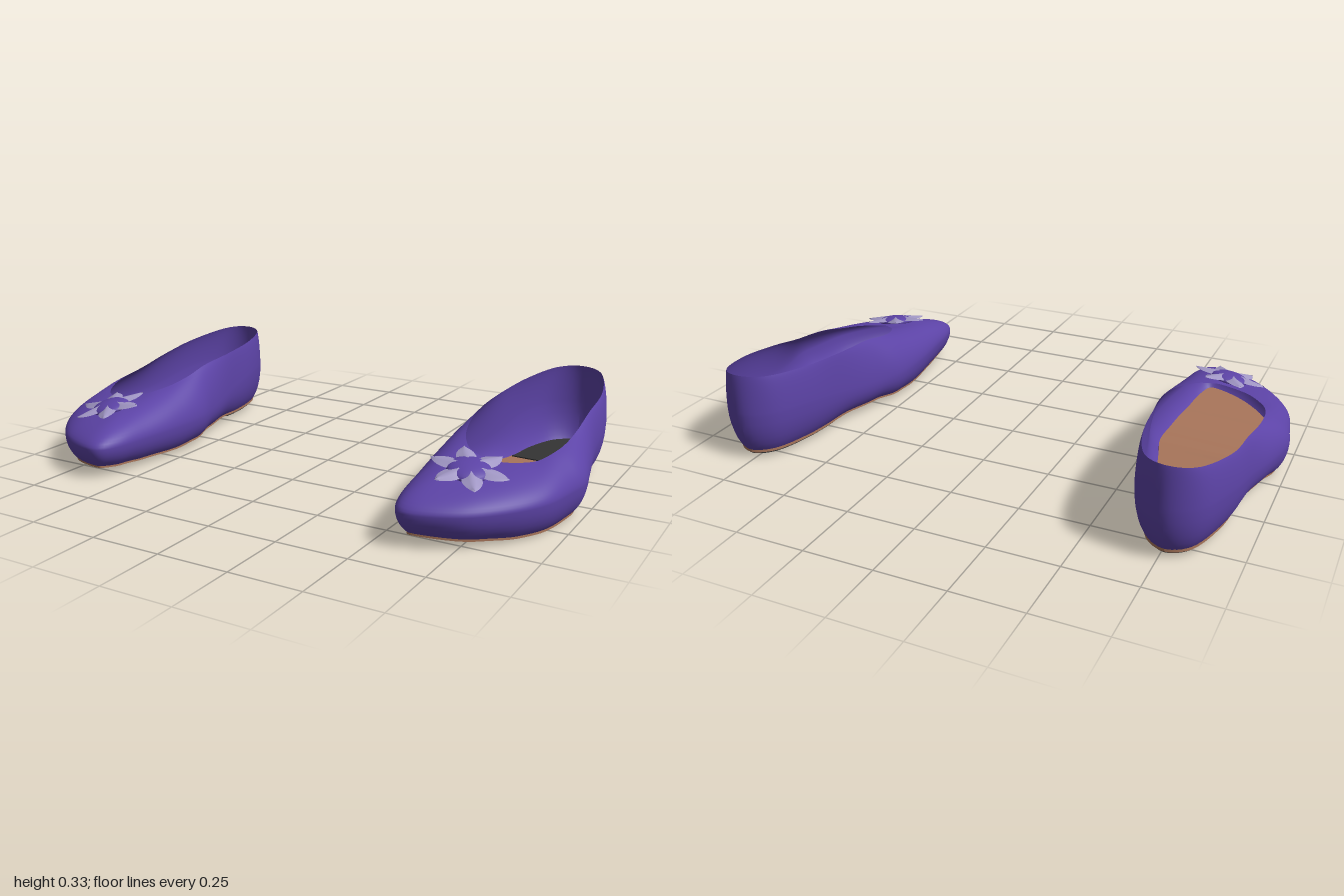
import * as THREE from 'three';
import { mergeGeometries, mergeVertices } from 'three/addons/utils/BufferGeometryUtils.js';

// Stations around one shoe, heel -> inner side -> toe -> outer side:
// widest outline x, z, then opening rim x, z, y
const STATIONS = [
  [.765, -.61, .765, -.60, .33], [.665, -.55, .68, -.553, .325], [.61, -.40, .625, -.40, .312],
  [.585, -.22, .60, -.22, .30], [.545, -.05, .592, -.05, .288], [.512, .08, .592, .06, .265],
  [.513, .24, .61, .15, .245], [.53, .40, .64, .215, .232], [.548, .53, .67, .25, .222],
  [.585, .60, .70, .268, .217], [.66, .60, .73, .276, .21], [.78, .545, .77, .272, .205],
  [.885, .44, .82, .25, .203], [.955, .32, .87, .20, .203], [.985, .18, .90, .13, .215],
  [.998, .08, .913, .05, .225], [.97, -.06, .915, -.06, .24], [.943, -.20, .912, -.20, .268],
  [.925, -.38, .905, -.38, .295], [.868, -.55, .85, -.553, .322],
];
const closed = (pts) => new THREE.CatmullRomCurve3(pts, true, 'catmullrom', 0.5);
const outline = closed(STATIONS.map(s => new THREE.Vector3(s[0], 0, s[1])));
const rim = closed(STATIONS.map(s => new THREE.Vector3(s[2], s[4], s[3])));

// Height of the underside, as [z, y] from heel to toe
const UNDERSIDE = [[-.61, .025], [-.3, .028], [-.17, .036], [-.04, .03], [.09, .012], [.2, .005], [.38, .012], [.48, .019], [.61, .03]];
function undersideY(x, z) {
  let i = 0;
  while (i < UNDERSIDE.length - 2 && z > UNDERSIDE[i + 1][0]) i++;
  const [z0, y0] = UNDERSIDE[i], [z1, y1] = UNDERSIDE[i + 1];
  const y = y0 + (y1 - y0) * THREE.MathUtils.smoothstep(z, z0, z1);
  const tilt = THREE.MathUtils.smoothstep(z, -.15, .15) * .014;
  return y + tilt * THREE.MathUtils.clamp((.95 - x) / .4, 0, 1);
}

// Outline point moved inward by a distance
function insetPoint(t, d) {
  const p = outline.getPoint(t), g = outline.getTangent(t);
  return p.add(new THREE.Vector3(g.z * d, 0, -g.x * d));
}

// Surface from a rule fn(u, v) -> Vector3, facing du x dv
function grid(nu, nv, fn) {
  const pos = [], idx = [];
  for (let i = 0; i <= nu; i++)
    for (let j = 0; j <= nv; j++) pos.push(...fn(i / nu, j / nv).toArray());
  for (let i = 0; i < nu; i++)
    for (let j = 0; j < nv; j++) {
      const a = i * (nv + 1) + j, b = a + nv + 1;
      idx.push(a, b, b + 1, a, b + 1, a + 1);
    }
  let g = new THREE.BufferGeometry();
  g.setAttribute('position', new THREE.Float32BufferAttribute(pos, 3));
  g.setIndex(idx);
  g = mergeVertices(g, 1e-5);
  g.computeVertexNormals();
  return g;
}

// Upper: tucked-in lower edge, rounded side, then over to the rim
function upperGeometry() {
  return grid(120, 20, (u, v) => {
    const o = outline.getPoint(u), r = rim.getPoint(u);
    const mid = .112 + .065 * THREE.MathUtils.smoothstep(-o.z, 0, .5);
    if (v < .3) {
      const a = v / .3, q = a * Math.PI / 2;
      const p = insetPoint(u, .04 * (1 - Math.sin(q)));
      const base = undersideY(p.x, p.z);
      p.y = base + (mid - base) * (.5 * (1 - Math.cos(q)) + .5 * a);
      return p;
    }
    const q = (v - .3) / .7 * Math.PI / 2;
    const h = 1 - Math.cos(q), k = .7 * Math.sin(q) + .3 * h;
    return new THREE.Vector3(o.x + (r.x - o.x) * h, mid + (r.y - mid) * k, o.z + (r.z - o.z) * h);
  });
}

// Slab following the underside, from the heel up to outline position tEnd
function slabGeometry(inset, low, high, tEnd) {
  const at = (u, w, off) => {
    const t = u * tEnd;
    const p = insetPoint(t, inset).lerp(insetPoint(1 - t, inset), w);
    p.y = undersideY(p.x, p.z) + off;
    return p;
  };
  const lift = (v) => low + (high - low) * v;
  return mergeGeometries([
    grid(48, 8, (u, v) => at(u, v, high)),
    grid(48, 8, (u, v) => at(u, 1 - v, low)),
    grid(48, 1, (u, v) => at(u, 0, lift(v))),
    grid(48, 1, (u, v) => at(u, 1, lift(1 - v))),
    grid(8, 1, (u, v) => at(1, u, lift(v))),
  ]);
}

// Placement of the flower on the vamp
const flowerMatrix = new THREE.Matrix4().compose(
  new THREE.Vector3(.715, .2, .374),
  new THREE.Quaternion().setFromEuler(new THREE.Euler(.2, 0, -.13)),
  new THREE.Vector3(1, 1, 1));

// Six pointed petals, each with a raised ridge
function petalsGeometry() {
  const petals = [];
  for (let k = 0; k < 6; k++) {
    const petal = grid(8, 6, (u, v) => {
      const s = 1 - 2 * v, w = .04 * (1 - u * u) * (.7 + .6 * u);
      return new THREE.Vector3(.04 + .09 * u, .004 + .016 * (1 - Math.abs(s)) * (1 - u * .7), s * w);
    });
    petals.push(petal.rotateY(k * Math.PI / 3));
  }
  return mergeGeometries(petals).applyMatrix4(flowerMatrix);
}

function flowerCentreGeometry() {
  return new THREE.SphereGeometry(.07, 28, 14).scale(1, .33, 1).applyMatrix4(flowerMatrix);
}

// Mirror in x, keeping faces outward
function mirrored(geometry) {
  const g = geometry.clone().scale(-1, 1, 1);
  const idx = g.index.array;
  for (let i = 0; i < idx.length; i += 3) [idx[i], idx[i + 1]] = [idx[i + 1], idx[i]];
  g.computeVertexNormals();
  return g;
}

export function createModel() {
  const material = (name, color, side = THREE.FrontSide) =>
    Object.assign(new THREE.MeshStandardMaterial({ color, side }), { name });
  const purple = material('purple', 0x5c43a6, THREE.DoubleSide);
  const lilac = material('lilac', 0xa096c4, THREE.DoubleSide);
  const tan = material('tan', 0xa8755a);
  const black = material('black', 0x343434);

  const parts = [
    ['upper', upperGeometry(), purple],
    ['sole', slabGeometry(.036, -.004, .02, .5), tan],
    ['heelPad', slabGeometry(.042, .018, .024, .142), black],
    ['heelBlock', slabGeometry(.045, -.012, .004, .142), black],
    ['petals', petalsGeometry(), lilac],
    ['flowerCentre', flowerCentreGeometry(), purple],
  ];

  const model = new THREE.Group();
  model.name = 'balletFlats';
  for (const side of ['left', 'right']) {
    const shoe = new THREE.Group();
    shoe.name = side + 'Shoe';
    for (const [name, geometry, mat] of parts) {
      const mesh = new THREE.Mesh(side === 'left' ? geometry : mirrored(geometry), mat);
      mesh.name = name;
      shoe.add(mesh);
    }
    model.add(shoe);
  }
  return model;
}
